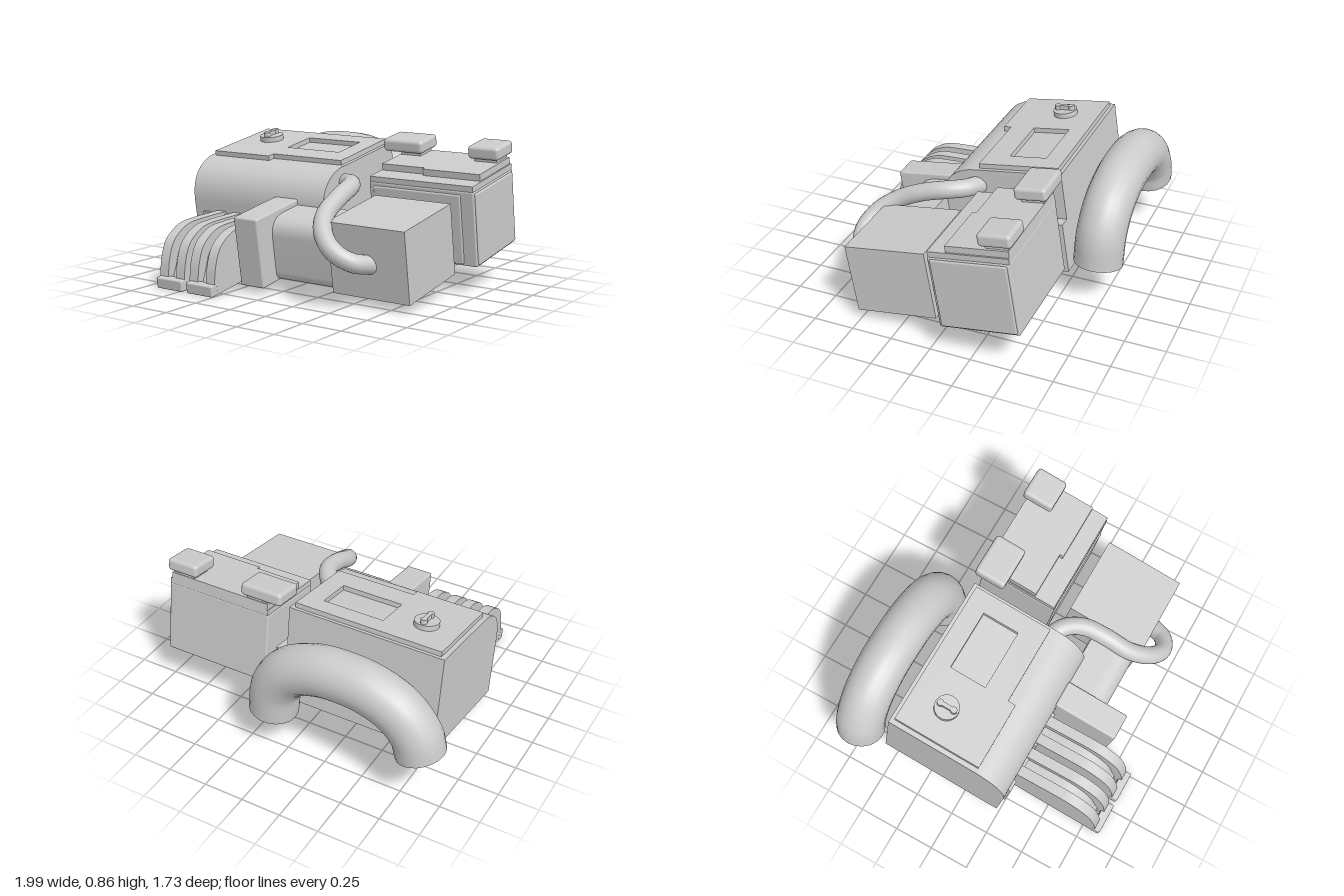
import * as THREE from 'three';
import { toCreasedNormals } from 'three/addons/utils/BufferGeometryUtils.js';
import { RoundedBoxGeometry } from 'three/addons/geometries/RoundedBoxGeometry.js';

const grey = new THREE.MeshStandardMaterial({ color: 0xcccccc });
const greyOpen = new THREE.MeshStandardMaterial({ color: 0xcccccc, side: THREE.DoubleSide });

function add(parent, name, geometry, material = grey) {
  const mesh = new THREE.Mesh(geometry, material);
  mesh.name = name;
  parent.add(mesh);
  return mesh;
}

// Box given by its limits on each axis; a radius rounds its edges
function box(parent, name, [x0, x1], [y0, y1], [z0, z1], radius = 0) {
  const size = [x1 - x0, y1 - y0, z1 - z0];
  const geo = radius ? new RoundedBoxGeometry(...size, 3, radius) : new THREE.BoxGeometry(...size);
  geo.translate((x0 + x1) / 2, (y0 + y1) / 2, (z0 + z1) / 2);
  return add(parent, name, geo);
}

// Side profile drawn in (z, y), extruded from x0 to x1
function extrudeX(parent, name, shape, x0, x1) {
  const geo = new THREE.ExtrudeGeometry(shape, { depth: x1 - x0, bevelEnabled: false, curveSegments: 14 });
  geo.rotateY(-Math.PI / 2).translate(x1, 0, 0);
  return add(parent, name, toCreasedNormals(geo, 0.5));
}

function tube(parent, name, points, radius) {
  const curve = new THREE.CatmullRomCurve3(points.map((p) => new THREE.Vector3(...p)));
  return add(parent, name, new THREE.TubeGeometry(curve, 48, radius, 20), greyOpen);
}

// Side profile of an arched outlet rib, pulled in by d on the curved side
function archProfile(d) {
  const s = new THREE.Shape();
  s.moveTo(0.2, 0.132);
  s.lineTo(0.82 - d, 0.132);
  s.lineTo(0.81 - d, 0.2);
  s.splineThru([[0.785, 0.29], [0.74, 0.376], [0.68, 0.425], [0.58, 0.458], [0.45, 0.452], [0.2, 0.42]]
    .map(([z, y]) => new THREE.Vector2(z - (z > 0.2 ? d : 0), y - d)));
  return s;
}

export function createModel() {
  const model = new THREE.Group();
  model.name = 'engineUnit';

  // Everything but the hoses leans forward
  const tilted = new THREE.Group();
  tilted.name = 'tiltedBody';
  tilted.rotation.x = 0.155;
  model.add(tilted);

  // Main housing with a large rounded front shoulder
  const body = new THREE.Shape();
  body.moveTo(-0.573, 0.1);
  body.lineTo(0.225, 0.1);
  body.lineTo(0.225, 0.47);
  body.bezierCurveTo(0.225, 0.62, 0.14, 0.7, 0.01, 0.712);
  body.lineTo(-0.573, 0.712);
  extrudeX(tilted, 'mainHousing', body, -0.85, 0.145);
  box(tilted, 'sidePlate', [0.14, 0.22], [0.1, 0.42], [-0.573, 0.02]);

  // Vertical ribs along the front
  for (let i = 0; i < 6; i++) {
    const x = -0.74 + i * 0.16;
    box(tilted, 'frontRib', [x - 0.037, x + 0.037], [0.105, 0.41], [0.2, 0.242]);
  }

  // Lid plate with a corner notch and a window recess
  const lid = new THREE.Shape([[-0.82, -0.01], [-0.39, -0.01], [-0.39, 0.04], [0.12, 0.04], [0.12, 0.55], [-0.82, 0.55]]
    .map((p) => new THREE.Vector2(...p)));
  lid.holes.push(new THREE.Path([[-0.39, 0.195], [-0.39, 0.43], [0, 0.43], [0, 0.195]]
    .map((p) => new THREE.Vector2(...p))));
  const lidGeo = new THREE.ExtrudeGeometry(lid, { depth: 0.032, bevelEnabled: false });
  add(tilted, 'lid', lidGeo.rotateX(-Math.PI / 2).translate(0, 0.71, 0));

  // Filler knob
  const knob = new THREE.Group();
  knob.name = 'knob';
  knob.position.set(-0.615, 0.742, -0.325);
  tilted.add(knob);
  add(knob, 'knobBase', new THREE.CylinderGeometry(0.075, 0.075, 0.032, 32).translate(0, 0.016, 0));
  box(knob, 'knobGrip', [-0.012, 0.012], [0.03, 0.06], [-0.05, 0.05]);
  for (const z of [-0.045, 0.045]) {
    add(knob, 'knobGripEnd', new THREE.CylinderGeometry(0.02, 0.02, 0.03, 16).translate(0, 0.045, z));
  }

  // Battery case, stepped cover and raised panels
  box(tilted, 'batteryCase', [0.28, 0.985], [0.155, 0.612], [-0.58, -0.085], 0.01);
  box(tilted, 'batterySidePanel', [0.97, 0.995], [0.165, 0.6], [-0.565, -0.1], 0.01);
  box(tilted, 'batteryFrontPanel', [0.31, 0.9], [0.165, 0.59], [-0.11, -0.075], 0.01);
  box(tilted, 'batteryCoverBase', [0.285, 0.98], [0.61, 0.645], [-0.58, -0.09]);
  box(tilted, 'batteryCoverLeft', [0.59, 0.97], [0.64, 0.685], [-0.58, -0.2]);
  box(tilted, 'batteryCoverRight', [0.29, 0.59], [0.64, 0.685], [-0.58, -0.225]);
  for (const [x0, x1] of [[0.19, 0.465], [0.78, 0.985]]) {
    box(tilted, 'batteryCap', [x0, x1], [0.705, 0.785], [-0.606, -0.406], 0.022);
    box(tilted, 'batteryCapNeck', [Math.max(x0 + 0.03, 0.3), x1 - 0.03], [0.67, 0.72], [-0.575, -0.44]);
  }

  // Front gearbox, its rounded connecting duct and end bracket
  box(tilted, 'gearbox', [0.37, 0.88], [0.13, 0.56], [-0.005, 0.506]);
  const duct = new THREE.Shape();
  duct.moveTo(0.2, 0.14);
  duct.lineTo(0.44, 0.14);
  duct.quadraticCurveTo(0.49, 0.14, 0.49, 0.2);
  duct.lineTo(0.49, 0.41);
  duct.quadraticCurveTo(0.49, 0.52, 0.37, 0.525);
  duct.lineTo(0.2, 0.525);
  extrudeX(tilted, 'duct', duct, -0.06, 0.39);
  box(tilted, 'endBracket', [-0.212, -0.042], [0.134, 0.56], [0.21, 0.622], 0.012);

  // Twin arched outlets: two ribs, a sunken web and a foot each
  for (const x of [-0.575, -0.345]) {
    for (const side of [-1, 1]) {
      const c = x + side * 0.0625;
      extrudeX(tilted, 'outletRib', archProfile(0), c - 0.0325, c + 0.0325);
    }
    extrudeX(tilted, 'outletWeb', archProfile(0.05), x - 0.04, x + 0.04);
    box(tilted, 'outletFoot', [x - 0.097, x + 0.097], [0.132, 0.2], [0.79, 0.847], 0.008);
  }

  // Thin hose from housing to gearbox
  tube(model, 'thinHose', [[0.1, 0.6, 0.05], [0.22, 0.615, 0.12], [0.28, 0.612, 0.22], [0.3, 0.575, 0.36],
    [0.315, 0.5, 0.52], [0.38, 0.42, 0.635], [0.48, 0.335, 0.682], [0.58, 0.275, 0.64], [0.635, 0.25, 0.52]], 0.055);

  // Wide arched hose at the back
  tube(model, 'wideHose', [[-0.85, 0.32, -0.71], [-0.82, 0.43, -0.71], [-0.71, 0.56, -0.71], [-0.54, 0.635, -0.71],
    [-0.365, 0.652, -0.708], [-0.19, 0.635, -0.706], [-0.01, 0.555, -0.704], [0.09, 0.42, -0.702], [0.12, 0.237, -0.7]], 0.15);

  return model;
}
